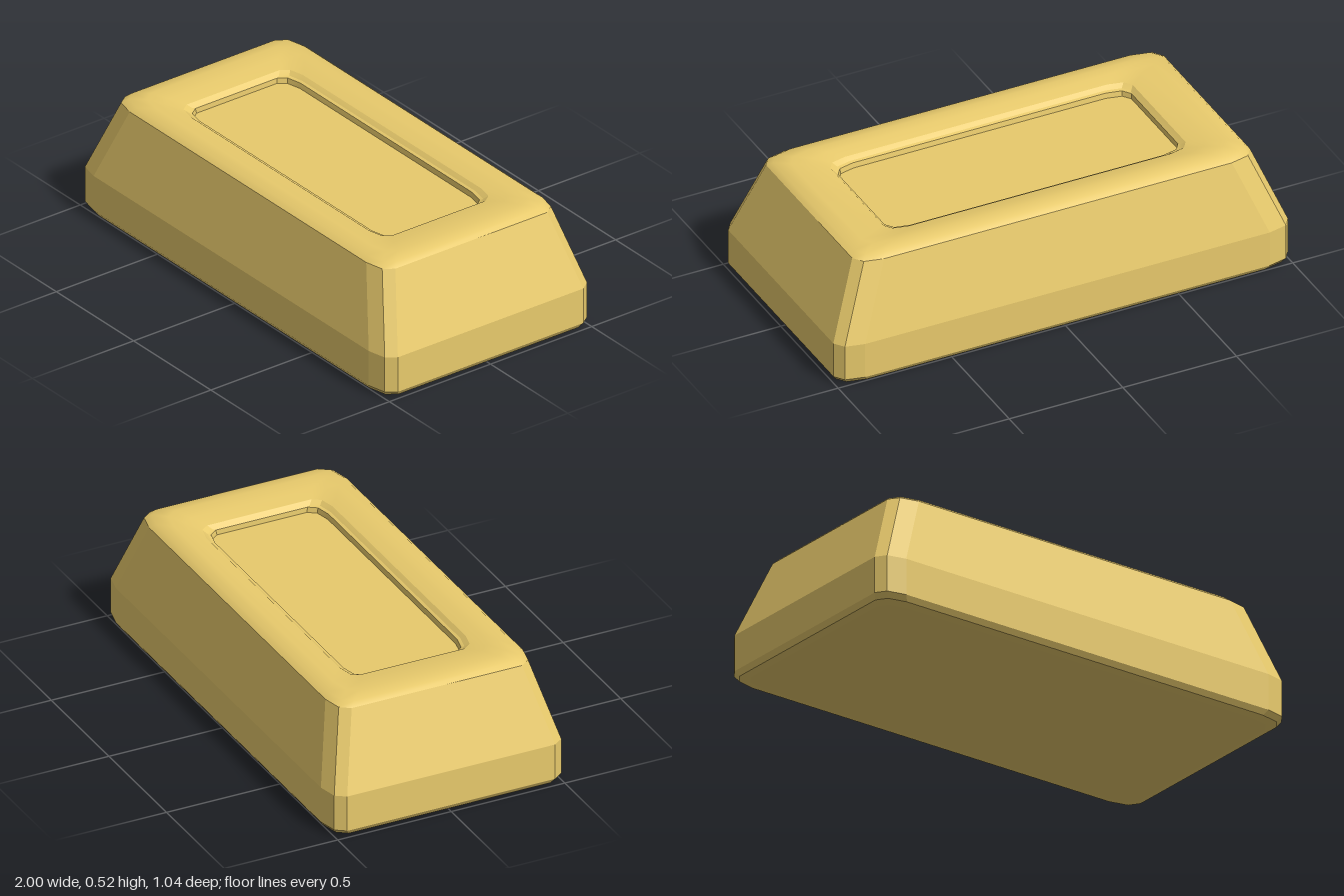
import * as THREE from 'three';
import { toCreasedNormals } from 'three/addons/utils/BufferGeometryUtils.js';

// Rectangle with two-step corners, counter-clockwise seen from above
function ring([x, z, y, k = 1]) {
  const corner = [[x, z - 0.06 * k], [x - 0.03 * k, z - 0.018 * k], [x - 0.11 * k, z]];
  const mirrored = (sx, sz) => corner.map(([px, pz]) => new THREE.Vector3(px * sx, y, pz * sz));
  return [
    ...mirrored(1, -1),
    ...mirrored(-1, -1).reverse(),
    ...mirrored(-1, 1),
    ...mirrored(1, 1).reverse(),
  ];
}

// Skin through successive rings, optionally closed at the first or last ring
function loft(sections, creaseAngle, { capStart = false, capEnd = false } = {}) {
  const rings = sections.map(ring);
  const n = rings[0].length;
  const positions = [];
  const tri = (...pts) => pts.forEach((p) => positions.push(p.x, p.y, p.z));
  for (let r = 0; r < rings.length - 1; r++) {
    const a = rings[r], b = rings[r + 1];
    for (let i = 0; i < n; i++) {
      const j = (i + 1) % n;
      tri(a[i], a[j], b[j]);
      tri(a[i], b[j], b[i]);
    }
  }
  const first = rings[0], last = rings[rings.length - 1];
  for (let i = 1; i < n - 1; i++) {
    if (capStart) tri(first[0], first[i + 1], first[i]);
    if (capEnd) tri(last[0], last[i], last[i + 1]);
  }
  const geometry = new THREE.BufferGeometry();
  geometry.setAttribute('position', new THREE.Float32BufferAttribute(positions, 3));
  return toCreasedNormals(geometry, creaseAngle);
}

export function createModel() {
  const model = new THREE.Group();
  model.name = 'ingot';
  const gold = new THREE.MeshStandardMaterial({ color: 0xe8ca6c });
  const add = (name, geometry) => {
    const mesh = new THREE.Mesh(geometry, gold);
    mesh.name = name;
    model.add(mesh);
  };

  // Bevelled base, upright band and tapered sides: [half x, half z, y, corner scale]
  add('body', loft([
    [0.955, 0.47, 0],
    [0.985, 0.503, 0.008],
    [1, 0.518, 0.03],
    [1, 0.518, 0.185],
    [0.875, 0.435, 0.5],
  ], 0.15, { capStart: true }));

  // Softly rounded shoulder and a rim that dips towards the recess
  add('rim', loft([
    [0.875, 0.435, 0.5],
    [0.855, 0.413, 0.518],
    [0.8, 0.365, 0.525],
    [0.73, 0.325, 0.521, 0.9],
    [0.665, 0.278, 0.508, 0.8],
  ], 0.8));

  // Stepped recess sunk in the top
  add('recess', loft([
    [0.665, 0.278, 0.508, 0.8],
    [0.65, 0.262, 0.494, 0.8],
    [0.645, 0.25, 0.49, 0.8],
    [0.643, 0.246, 0.468, 0.8],
  ], 0.3, { capEnd: true }));

  return model;
}
